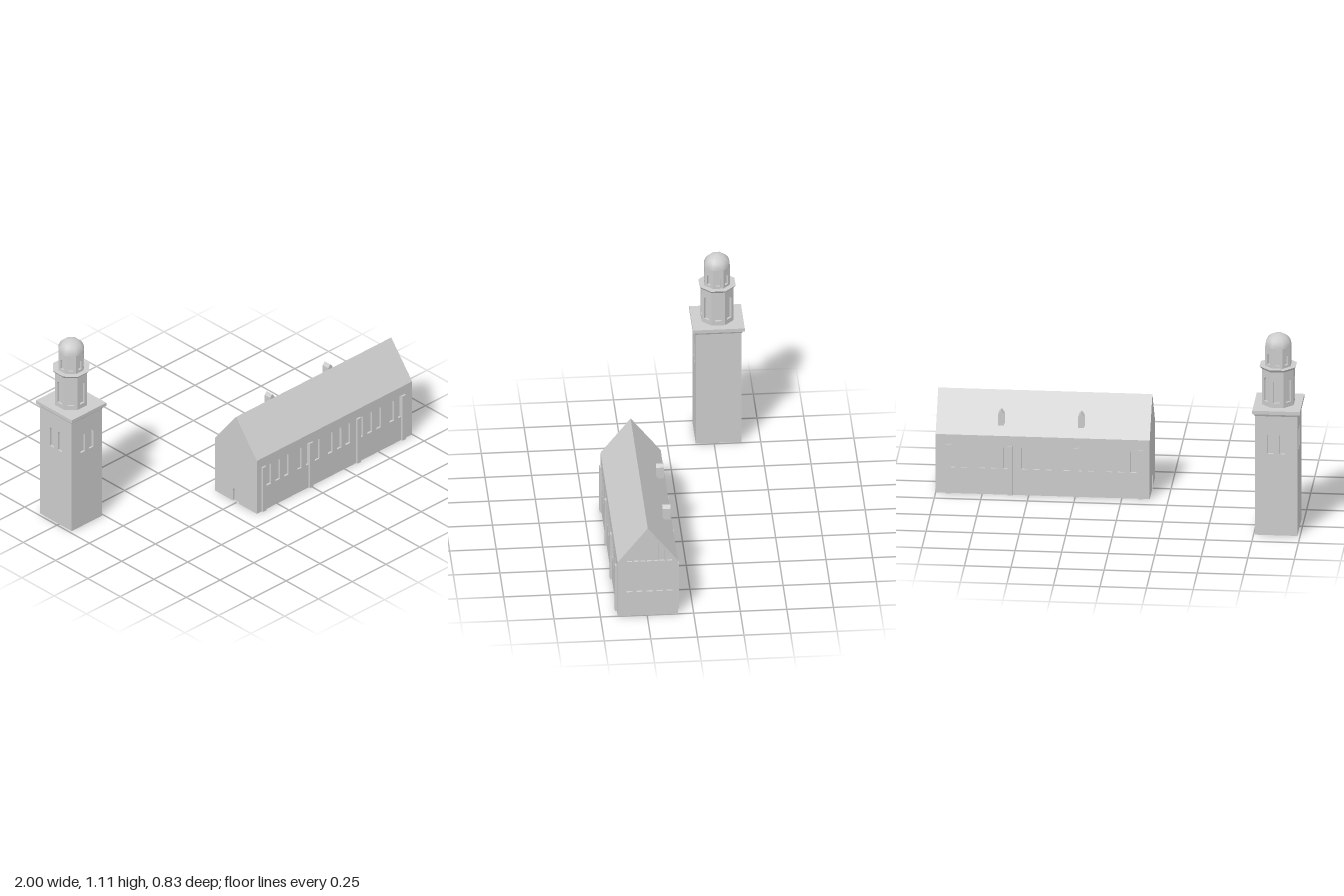
import * as THREE from 'three';

const stone = new THREE.MeshStandardMaterial({ color: 0xcccccc });
stone.name = 'stone';

const DEPTH = 0.012; // how far the windows are set back

function add(parent, name, geometry, x = 0, y = 0, z = 0) {
  const mesh = new THREE.Mesh(geometry, stone);
  mesh.name = name;
  mesh.position.set(x, y, z);
  parent.add(mesh);
  return mesh;
}

function polygon(points) {
  return new THREE.Shape(points.map(([x, y]) => new THREE.Vector2(x, y)));
}

const rect = (hw, y0, y1) => [[-hw, y0], [hw, y0], [hw, y1], [-hw, y1]];

// Round-headed opening: centre, half width, sill and crown heights
function arch([u, hw, sill, top]) {
  const p = new THREE.Path();
  p.moveTo(u - hw, sill);
  p.lineTo(u + hw, sill);
  p.lineTo(u + hw, top - hw);
  p.absarc(u, top - hw, hw, 0, Math.PI, false);
  p.lineTo(u - hw, sill);
  return p;
}

// Wall slab with openings, its outer face at the given distance from the axis
function wall(parent, name, outline, windows, angle, distance) {
  const shape = polygon(outline);
  shape.holes = windows.map(arch);
  const geometry = new THREE.ExtrudeGeometry(shape, { depth: DEPTH, bevelEnabled: false, curveSegments: 8 });
  geometry.translate(0, 0, distance - DEPTH);
  add(parent, name, geometry).rotation.y = angle;
}

function box(parent, name, w, h, d, x, y, z) {
  return add(parent, name, new THREE.BoxGeometry(w, h, d), x, y, z);
}

// Prism or frustum with flat sides facing the axes, sized by apothem
function frustum(sides, aTop, aBottom, y0, y1) {
  const k = 1 / Math.cos(Math.PI / sides);
  const g = new THREE.CylinderGeometry(aTop * k, aBottom * k, y1 - y0, sides, 1, false, Math.PI / sides).toNonIndexed();
  g.translate(0, (y0 + y1) / 2, 0);
  g.computeVertexNormals();
  return g;
}

// Eight-sided storey with one window in each face
function drum(parent, name, apothem, y0, y1, window) {
  add(parent, name + 'Core', frustum(8, apothem - DEPTH, apothem - DEPTH, y0, y1));
  const half = apothem * Math.tan(Math.PI / 8);
  for (let i = 0; i < 8; i++) {
    wall(parent, name + 'Wall', rect(half, y0, y1), [window], i * Math.PI / 4, apothem);
  }
}

function createTower() {
  const tower = new THREE.Group();
  tower.name = 'tower';
  const hx = 0.113, hz = 0.123, top = 0.68;

  // Square shaft with paired windows on three sides
  box(tower, 'shaftCore', 2 * (hx - DEPTH), top, 2 * (hz - DEPTH), 0, top / 2, 0);
  const pair = [-0.031, 0.031].map(u => [u, 0.0155, 0.465, 0.583]);
  wall(tower, 'shaftFront', rect(hx, 0, top), pair, 0, hz);
  wall(tower, 'shaftBack', rect(hx, 0, top), pair, Math.PI, hz);
  wall(tower, 'shaftRight', rect(hz, 0, top), pair, -Math.PI / 2, hx);
  wall(tower, 'shaftLeft', rect(hz, 0, top), [], Math.PI / 2, hx);

  // Platform on a flared moulding
  const moulding = frustum(4, 0.122, 0.115, top, 0.695);
  moulding.scale(1, 1, 1.08);
  add(tower, 'platformMoulding', moulding);
  box(tower, 'platform', 0.256, 0.02, 0.278, 0, 0.705, 0);

  // Two octagonal storeys with a cornice between
  drum(tower, 'belfry', 0.0855, 0.715, 0.92, [0, 0.0175, 0.741, 0.876]);
  add(tower, 'cornice', frustum(8, 0.097, 0.086, 0.918, 0.933));
  drum(tower, 'lantern', 0.068, 0.933, 1.044, [0, 0.012, 0.947, 1.006]);

  // Eight-sided dome
  const profile = [];
  const r = 0.068 / Math.cos(Math.PI / 8);
  for (let i = 0; i <= 8; i++) {
    const a = i / 8 * Math.PI / 2;
    profile.push(new THREE.Vector2(i === 8 ? 0 : r * Math.cos(a), 1.044 + 0.068 * Math.sin(a)));
  }
  add(tower, 'dome', new THREE.LatheGeometry(profile, 8, Math.PI / 8));
  return tower;
}

function createHall() {
  const hall = new THREE.Group();
  hall.name = 'hall';
  const hx = 0.575, hz = 0.1615, eaves = 0.335, ridge = 0.54, cx = 0.425;

  // Body and roof between the gables
  box(hall, 'hallCore', 2 * (hx - DEPTH), eaves, 2 * (hz - DEPTH), 0, eaves / 2, 0);
  const roof = new THREE.ExtrudeGeometry(polygon([[-hz, eaves], [hz, eaves], [0, ridge]]),
    { depth: 2 * (hx - DEPTH), bevelEnabled: false });
  roof.translate(0, 0, -(hx - DEPTH));
  add(hall, 'roof', roof).rotation.y = Math.PI / 2;

  // Long walls: windows in threes, the last group cut to two
  const xs = [];
  for (let g = 0; g < 5; g++) {
    for (let i = 0; i < (g === 4 ? 2 : 3); i++) xs.push(-0.0615 + g * 0.2273 + i * 0.0655 - cx);
  }
  const row = sign => xs.map(x => [x * sign, 0.0165, 0.147, 0.283]);
  wall(hall, 'frontWall', rect(hx, 0, eaves), row(1), 0, hz);
  wall(hall, 'backWall', rect(hx, 0, eaves), row(-1), Math.PI, hz);

  // Left gable: a row of five windows below stepped lancets
  const gable = [[-hz, 0], [hz, 0], [hz, eaves], [0, ridge], [-hz, eaves]];
  const windows = [];
  for (let i = -2; i <= 2; i++) windows.push([0.0095 + i * 0.0537, 0.016, 0.147, 0.282]);
  const steps = [0.47, 0.456, 0.418, 0.376], offsets = [0, 0.0345, 0.069, 0.1075];
  for (let i = -3; i <= 3; i++) {
    windows.push([0.0095 + Math.sign(i) * offsets[Math.abs(i)], 0.0132, 0.335, steps[Math.abs(i)]]);
  }
  wall(hall, 'leftGable', gable, windows, Math.PI / 2, hx);

  // Right gable with the doorway
  wall(hall, 'rightGable', gable, [[0, 0.025, 0.001, 0.085]], -Math.PI / 2, hx);

  // Buttresses along both long walls
  for (const x of [-0.101, 0.246, 0.599, 0.931]) {
    for (const s of [-1, 1]) box(hall, 'buttress', 0.027, 0.28, 0.022, x - cx, 0.14, s * (hz - 0.001));
  }

  // Small gabled chimneys on the back slope
  for (const x of [0.22, 0.65]) {
    const shape = polygon([[-0.015, 0.39], [0.015, 0.39], [0.015, 0.456], [0, 0.474], [-0.015, 0.456]]);
    add(hall, 'chimney', new THREE.ExtrudeGeometry(shape, { depth: 0.044, bevelEnabled: false }), x - cx, 0, -0.1495);
  }
  return hall;
}

export function createModel() {
  const model = new THREE.Group();
  model.name = 'hallAndTower';
  const tower = createTower();
  tower.position.set(-0.872, 0, -0.275);
  const hall = createHall();
  hall.position.set(0.425, 0, 0.2465);
  model.add(tower, hall);
  return model;
}
